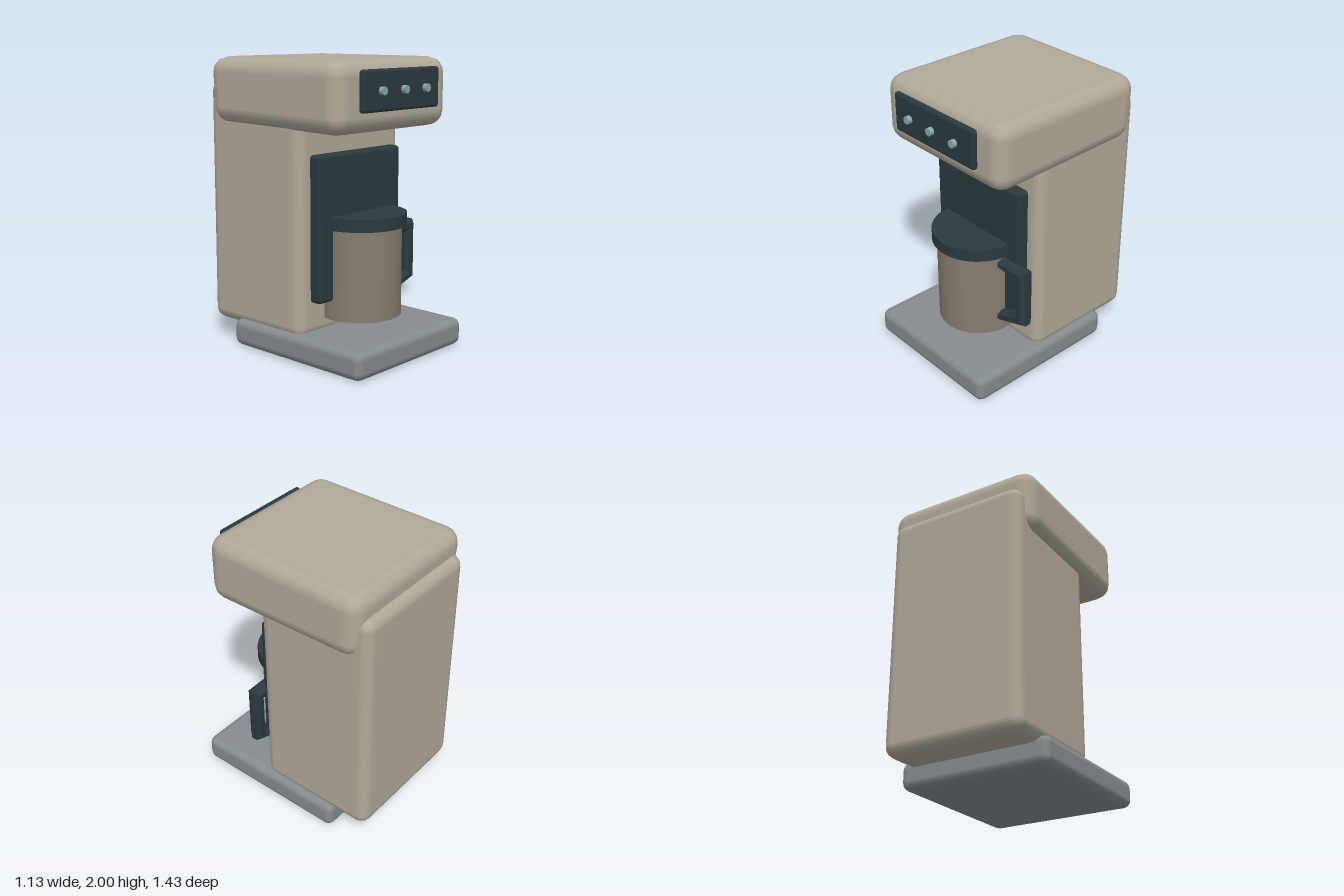
import * as THREE from 'three';
import { RoundedBoxGeometry } from 'three/addons/geometries/RoundedBoxGeometry.js';

const paint = (color) => new THREE.MeshStandardMaterial({ color });

// Rounded box given by its extents along each axis
function slab(name, [x0, x1], [y0, y1], [z0, z1], radius, material) {
  const geometry = new RoundedBoxGeometry(x1 - x0, y1 - y0, z1 - z0, 2, radius);
  geometry.translate((x0 + x1) / 2, (y0 + y1) / 2, (z0 + z1) / 2);
  const mesh = new THREE.Mesh(geometry, material);
  mesh.name = name;
  return mesh;
}

function drum(name, radius, y0, y1, z, sides, material) {
  const mesh = new THREE.Mesh(new THREE.CylinderGeometry(radius, radius, y1 - y0, sides), material);
  mesh.position.set(0, (y0 + y1) / 2, z);
  mesh.name = name;
  return mesh;
}

// Octagonal bar swept along a path in the xy plane, with mitred corners
function mitredBar(path, halfWidth, halfDepth) {
  const points = path.map(([x, y]) => new THREE.Vector2(x, y));
  const sides = 8, position = [], index = [];
  points.forEach((p, i) => {
    const before = p.clone().sub(points[Math.max(i - 1, 0)]).normalize();
    const after = points[Math.min(i + 1, points.length - 1)].clone().sub(p).normalize();
    const along = before.clone().add(after).normalize();
    const cosine = along.dot(i ? before : after);
    for (let k = 0; k < sides; k++) {
      const a = ((k + 0.5) / sides) * Math.PI * 2;
      const n = (halfWidth * Math.cos(a)) / Math.cos(Math.PI / sides) / cosine;
      const z = (halfDepth * Math.sin(a)) / Math.cos(Math.PI / sides);
      position.push(p.x - along.y * n, p.y + along.x * n, z);
    }
  });
  for (let i = 0; i < points.length - 1; i++) {
    for (let k = 0; k < sides; k++) {
      const a = i * sides + k, b = i * sides + ((k + 1) % sides);
      index.push(a, a + sides, b, b, a + sides, b + sides);
    }
  }
  const geometry = new THREE.BufferGeometry();
  geometry.setAttribute('position', new THREE.Float32BufferAttribute(position, 3));
  geometry.setIndex(index);
  geometry.computeVertexNormals();
  return geometry;
}

export function createModel() {
  const model = new THREE.Group();
  model.name = 'coffeeMaker';
  const beige = paint(0xb0a999);
  const grey = paint(0x858c8f);
  const dark = paint(0x2b393e);
  const steel = paint(0x857d6f);
  const teal = paint(0x86a8ab);

  // Base tray and upright housing
  model.add(slab('base', [-0.55, 0.55], [0, 0.19], [-0.455, 0.715], 0.055, grey));
  model.add(slab('body', [-0.51, 0.51], [0.14, 1.84], [-0.715, 0.165], 0.08, beige));

  // Overhanging head, its underside drawn in slightly toward the back
  const head = slab('head', [-0.567, 0.567], [1.53, 2], [-0.66, 0.55], 0.11, beige);
  const p = head.geometry.attributes.position;
  for (let i = 0; i < p.count; i++) {
    if (p.getY(i) < 1.7 && p.getZ(i) < 0) {
      p.setY(i, p.getY(i) + 0.02);
      p.setZ(i, p.getZ(i) + 0.02);
    }
  }
  model.add(head);

  // Dark splash panel behind the jug
  model.add(slab('splashPanel', [-0.41, 0.41], [0.39, 1.38], [0.15, 0.25], 0.025, dark));

  // Control panel with three buttons
  model.add(slab('controlPanel', [-0.385, 0.385], [1.67, 1.94], [0.556, 0.6], 0.02, dark));
  for (const x of [-0.22, 0, 0.22]) {
    const button = new THREE.Mesh(new THREE.CylinderGeometry(0.027, 0.027, 0.03, 16), teal);
    button.rotation.x = Math.PI / 2;
    button.position.set(x, 1.805, 0.62);
    button.name = 'button';
    model.add(button);
  }

  // Jug with lid and handle
  const jug = new THREE.Group();
  jug.name = 'jug';
  jug.add(drum('jugBody', 0.285, 0.26, 0.88, 0.24, 40, steel));
  jug.add(drum('jugLid', 0.318, 0.88, 0.965, 0.24, 40, dark));
  const handleMaterial = paint(0x2b393e);
  handleMaterial.flatShading = true;
  handleMaterial.side = THREE.DoubleSide;
  const path = [[0.25, 0.81], [0.478, 0.803], [0.478, 0.447], [0.25, 0.372]];
  const handle = new THREE.Mesh(mitredBar(path, 0.042, 0.053), handleMaterial);
  handle.position.z = 0.258;
  handle.name = 'jugHandle';
  jug.add(handle);
  model.add(jug);

  return model;
}
